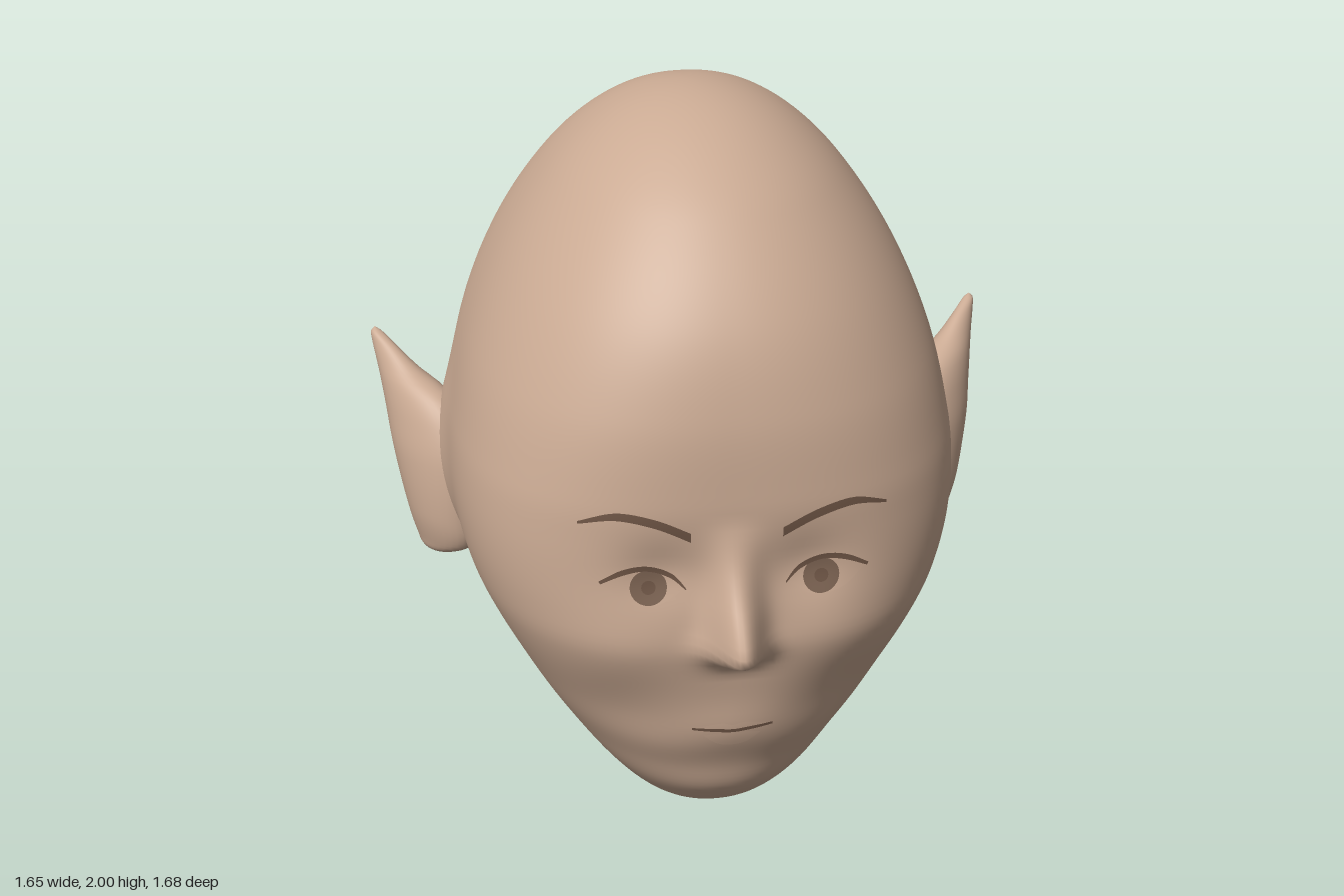
import * as THREE from 'three';
import { mergeVertices } from 'three/addons/utils/BufferGeometryUtils.js';

const mat = (name, color, side = THREE.FrontSide) => {
  const m = new THREE.MeshStandardMaterial({ color, side });
  m.name = name;
  return m;
};

// Smooth interpolation of table rows [key, ...values]
function lookup(rows, u) {
  let i = 0;
  while (i < rows.length - 2 && u > rows[i + 1][0]) i++;
  const a = rows[i], b = rows[i + 1], h = b[0] - a[0];
  const t = THREE.MathUtils.clamp((u - a[0]) / h, 0, 1);
  const slope = (k, c) => {
    const p = rows[Math.max(k - 1, 0)], q = rows[Math.min(k + 1, rows.length - 1)];
    return (q[c] - p[c]) / (q[0] - p[0]);
  };
  return a.slice(1).map((_, k) => {
    const c = k + 1, t2 = t * t, t3 = t2 * t;
    return (2 * t3 - 3 * t2 + 1) * a[c] + (t3 - 2 * t2 + t) * h * slope(i, c)
      + (3 * t2 - 2 * t3) * b[c] + (t3 - t2) * h * slope(i + 1, c);
  });
}

// Closed skin over rings of equal length, listed from bottom to top
function loft(rings) {
  const n = rings[0].length, index = [];
  for (let i = 0; i < rings.length - 1; i++)
    for (let j = 0; j < n; j++) {
      const a = i * n + j, b = i * n + (j + 1) % n;
      index.push(a, b, a + n, b, b + n, a + n);
    }
  let g = new THREE.BufferGeometry();
  g.setAttribute('position', new THREE.Float32BufferAttribute(rings.flat(2), 3));
  g.setIndex(index);
  g = mergeVertices(g, 1e-5);
  g.computeVertexNormals();
  return g;
}

// Head profile: height, half width, front z, back z
const angleOf = y => Math.acos(1 - y);
const headRows = [
  [0, 0, 0.04, 0.04], [0.03, 0.1, 0.17, -0.06], [0.1, 0.18, 0.31, -0.13], [0.2, 0.265, 0.46, -0.22],
  [0.3, 0.335, 0.55, -0.3], [0.4, 0.4, 0.595, -0.38], [0.5, 0.455, 0.645, -0.465], [0.6, 0.505, 0.667, -0.55],
  [0.8, 0.595, 0.7, -0.715], [0.9, 0.625, 0.7, -0.785], [1, 0.64, 0.7, -0.828], [1.1, 0.642, 0.7, -0.842],
  [1.2, 0.632, 0.7, -0.83], [1.4, 0.587, 0.68, -0.77], [1.6, 0.503, 0.61, -0.655], [1.8, 0.37, 0.45, -0.47],
  [1.9, 0.268, 0.315, -0.34], [1.97, 0.15, 0.165, -0.2], [2, 0, -0.02, -0.02],
].map(([y, ...v]) => [angleOf(y), ...v]);
// Nose: height, projection, half width
const noseRows = [
  [0.74, 0, 0.08], [0.78, 0.03, 0.078], [0.81, 0.09, 0.075], [0.84, 0.137, 0.067], [0.87, 0.14, 0.06],
  [0.92, 0.11, 0.056], [0.98, 0.066, 0.054], [1.05, 0.03, 0.054], [1.15, 0, 0.06],
];

const gauss = (x, y, cx, cy, sx, sy) => Math.exp(-(((x - cx) / sx) ** 2) - ((y - cy) / sy) ** 2);

// Nose, eye sockets, cheeks, lips and chin as rises of the face surface
function relief(x, y) {
  const ax = Math.abs(x);
  let d = -0.022 * gauss(ax, y, 0.17, 1.02, 0.1, 0.08)
    + 0.018 * gauss(ax, y, 0.27, 0.83, 0.16, 0.12)
    - 0.02 * gauss(ax, y, 0.28, 0.57, 0.14, 0.14)
    + 0.01 * gauss(x, y, 0, 0.56, 0.12, 0.07)
    + 0.013 * gauss(x, y, 0, 0.34, 0.14, 0.09);
  if (y > 0.74 && y < 1.15) {
    const [h, w] = lookup(noseRows, y);
    d += h * Math.exp(-Math.pow(ax / w, 2.1));
  }
  return d;
}

function section(y) {
  const [w, zf, zb] = lookup(headRows, angleOf(y));
  const n = 2 + 0.8 * Math.exp(-(((y - 0.95) / 0.55) ** 2));
  return { w: Math.max(w, 0), zf, zb, n, zc: 0.04 - 0.03 * y };
}

function faceZ(x, y) {
  const { w, zf, n, zc } = section(y);
  return zc + (zf - zc) * Math.pow(1 - Math.pow(Math.abs(x) / w, n), 1 / n) + relief(x, y);
}

function headGeometry() {
  const rings = [], R = 140, S = 168;
  for (let i = 0; i <= R; i++) {
    const y = 1 - Math.cos(Math.PI * i / R), { w, zf, zb, n, zc } = section(y), ring = [];
    const back = 2.04 + 0.22 * THREE.MathUtils.smoothstep(y, 0.4, 1);
    for (let j = 0; j < S; j++) {
      const p = 2 * Math.PI * j / S, a = p - 0.5 * Math.sin(p);
      const s = Math.sin(a), c = Math.cos(a), e = c > 0 ? n : back;
      const r = Math.pow(Math.abs(s) ** e + Math.abs(c) ** e, -1 / e);
      let x = w * r * s, z = zc + (c > 0 ? zf - zc : zc - zb) * r * c;
      if (c > 0) z += relief(x, y) * Math.min(1, c * 2);
      // Swelling where the ears join
      x += Math.sign(s) * Math.min(1, Math.abs(s) * 2) * 0.045 * gauss(z, y, -0.09, 0.96, 0.13, 0.2);
      ring.push([x, y, z]);
    }
    rings.push(ring);
  }
  return loft(rings);
}

// Pointed ear: height, inner edge x z, outer edge x z, half thickness
const earRows = [
  [0.71, 0.675, -0.085, 0.675, -0.085, 0], [0.725, 0.645, -0.03, 0.705, -0.12, 0.04],
  [0.76, 0.6, 0.015, 0.72, -0.145, 0.063], [0.85, 0.59, 0.03, 0.736, -0.17, 0.08],
  [1, 0.59, 0.018, 0.768, -0.205, 0.08], [1.1, 0.605, -0.02, 0.785, -0.235, 0.07],
  [1.16, 0.645, -0.075, 0.797, -0.255, 0.056], [1.2, 0.71, -0.15, 0.807, -0.267, 0.038],
  [1.25, 0.768, -0.22, 0.82, -0.28, 0.02], [1.275, 0.8, -0.26, 0.822, -0.285, 0.012],
  [1.285, 0.815, -0.28, 0.815, -0.28, 0],
];
function earGeometry(side) {
  const rings = [], R = 50, S = 32;
  for (let i = 0; i <= R; i++) {
    const y = 0.9975 - 0.2875 * Math.cos(Math.PI * i / R);
    const [xi, zi, xo, zo, t] = lookup(earRows, y), ring = [];
    const ux = (xo - xi) / 2, uz = (zo - zi) / 2, l = Math.hypot(ux, uz) || 1;
    for (let j = 0; j < S; j++) {
      const a = 2 * Math.PI * j / S, c = Math.cos(a), s = Math.sin(a) * t / l;
      ring.push([side * ((xi + xo) / 2 + ux * c + uz * s), y, (zi + zo) / 2 + uz * c - ux * s]);
    }
    rings.push(side > 0 ? ring : ring.reverse());
  }
  return loft(rings);
}

// Thin plate lying on the face between a lower and an upper curve
function plate(name, material, lower, upper, lift, side = 1) {
  const curve = pts => new THREE.SplineCurve(pts.map(p => new THREE.Vector2(...p)));
  const lo = curve(lower), hi = curve(upper), N = 24, M = 6, pos = [], index = [];
  for (let i = 0; i <= N; i++) {
    const a = lo.getPoint(i / N), b = hi.getPoint(i / N);
    for (let j = 0; j <= M; j++) {
      const p = a.clone().lerp(b, j / M);
      pos.push(side * p.x, p.y, faceZ(p.x, p.y) + lift);
      if (i < N && j < M) {
        const k = i * (M + 1) + j, q = k + M + 1;
        if (side > 0) index.push(k, q, k + 1, q, q + 1, k + 1);
        else index.push(k, k + 1, q, q, k + 1, q + 1);
      }
    }
  }
  const g = new THREE.BufferGeometry();
  g.setAttribute('position', new THREE.Float32BufferAttribute(pos, 3));
  g.setIndex(index);
  g.computeVertexNormals();
  const m = new THREE.Mesh(g, material);
  m.name = name;
  return m;
}
const arc = (cx, cy, r, s) => Array.from({ length: 9 }, (_, i) =>
  [cx - r * Math.cos(Math.PI * i / 8), cy + s * r * Math.sin(Math.PI * i / 8)]);

export function createModel() {
  const model = new THREE.Group();
  model.name = 'head';
  const skin = mat('skin', 0xcaaa93), dark = mat('dark brown', 0x6e5545, THREE.DoubleSide);
  const iris = mat('iris brown', 0x7c6352, THREE.DoubleSide);
  const add = (name, geometry) => {
    const m = new THREE.Mesh(geometry, skin);
    m.name = name;
    model.add(m);
  };
  add('skull', headGeometry());

  for (const side of [1, -1]) {
    const label = side > 0 ? 'left' : 'right';
    add(label + 'Ear', earGeometry(side));
    const upperLid = [[0.12, 0.985], [0.155, 1.015], [0.21, 1.035], [0.265, 1.028], [0.318, 1.005]];
    model.add(
      plate(label + 'Brow', dark, [[0.108, 1.115], [0.19, 1.155], [0.28, 1.173], [0.365, 1.156]],
        [[0.108, 1.14], [0.19, 1.178], [0.28, 1.192], [0.365, 1.163]], 0.014, side),
      plate(label + 'Eye', skin, [[0.12, 0.985], [0.165, 0.955], [0.21, 0.945], [0.265, 0.96], [0.31, 1]],
        upperLid, 0.009, side),
      plate(label + 'Iris', iris, arc(0.206, 0.992, 0.044, -1), arc(0.206, 0.992, 0.044, 1), 0.012, side),
      plate(label + 'Pupil', dark, arc(0.206, 0.992, 0.017, -1), arc(0.206, 0.992, 0.017, 1), 0.014, side),
      plate(label + 'Eyelid', dark, upperLid,
        [[0.118, 0.988], [0.152, 1.027], [0.21, 1.049], [0.268, 1.042], [0.322, 1.012]], 0.016, side));
  }

  // Mouth
  model.add(
    plate('mouthLine', dark, [[-0.1, 0.566], [-0.04, 0.561], [0, 0.558], [0.04, 0.561], [0.1, 0.566]],
      [[-0.1, 0.573], [-0.04, 0.571], [0, 0.568], [0.04, 0.571], [0.1, 0.573]], 0.01),
    plate('upperLip', skin, [[-0.09, 0.571], [0, 0.567], [0.09, 0.571]],
      [[-0.09, 0.573], [-0.03, 0.586], [0, 0.58], [0.03, 0.586], [0.09, 0.573]], 0.008),
    plate('lowerLip', skin, [[-0.07, 0.545], [-0.035, 0.517], [0, 0.51], [0.035, 0.517], [0.07, 0.545]],
      [[-0.07, 0.547], [0, 0.56], [0.07, 0.547]], 0.008));
  return model;
}
